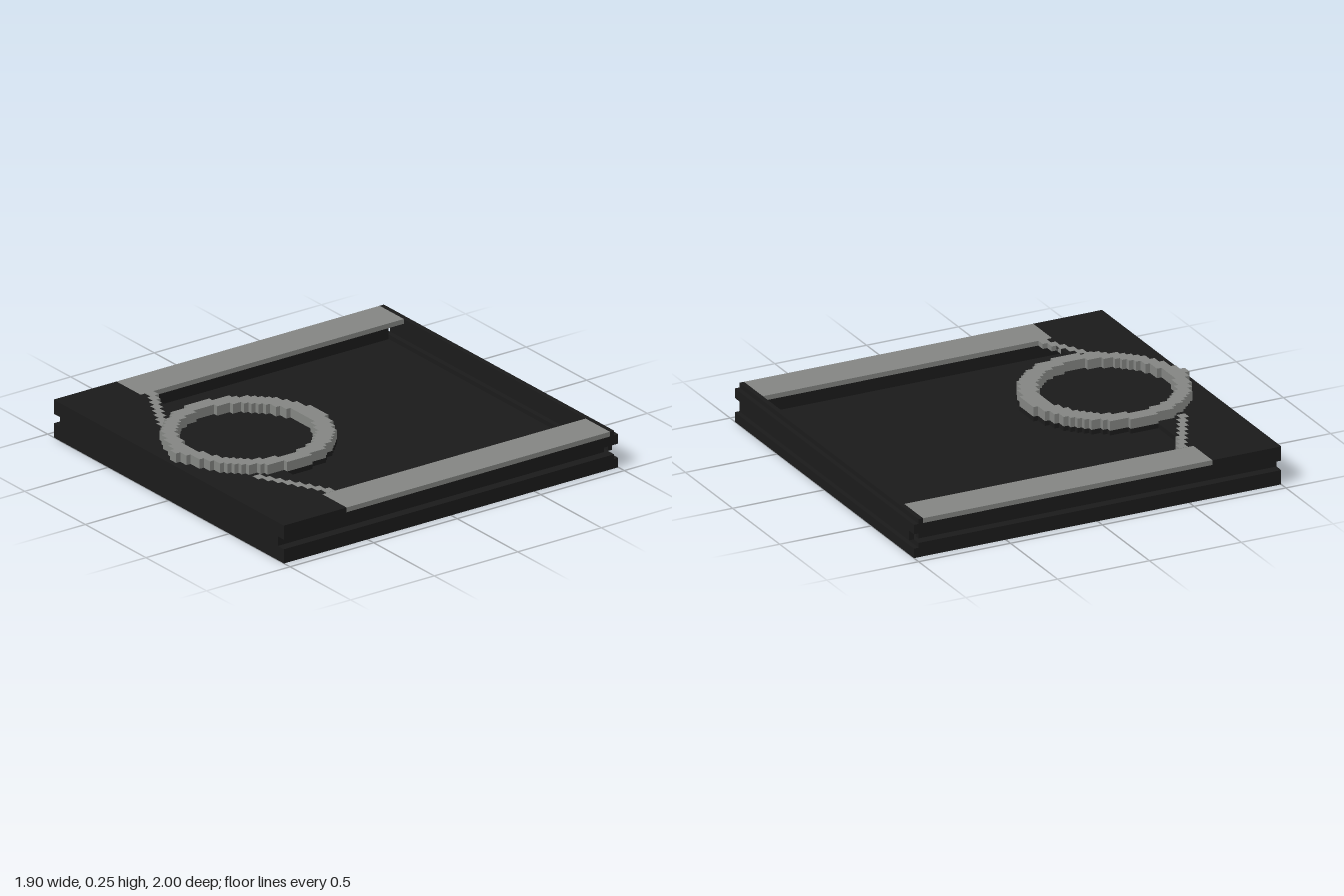
import * as THREE from 'three';
import { mergeGeometries } from 'three/addons/utils/BufferGeometryUtils.js';

const CELL = 0.025;

// Box given by its limits on each axis
function block(x0, x1, y0, y1, z0, z1) {
  return new THREE.BoxGeometry(x1 - x0, y1 - y0, z1 - z0)
    .translate((x0 + x1) / 2, (y0 + y1) / 2, (z0 + z1) / 2);
}

// Mirrored pair of boxes on both sides of x = 0
function pair(x0, x1, ...rest) {
  return [block(x0, x1, ...rest), block(-x1, -x0, ...rest)];
}

// Right half of a cross-section, mirrored in x and extruded along z
function profile(half, z0, z1) {
  const mirrored = half.map(([x, y]) => [-x, y]).reverse();
  const shape = new THREE.Shape([...half, ...mirrored].map(([x, y]) => new THREE.Vector2(x, y)));
  return new THREE.ExtrudeGeometry(shape, { depth: z1 - z0, bevelEnabled: false }).translate(0, 0, z0);
}

export function createModel() {
  const group = new THREE.Group();
  const dark = new THREE.MeshStandardMaterial({ name: 'charcoal', color: 0x1b1b1b });
  const grey = new THREE.MeshStandardMaterial({ name: 'stone grey', color: 0x848683 });

  const add = (name, material, parts) => {
    const mesh = new THREE.Mesh(mergeGeometries(parts), material);
    mesh.name = name;
    group.add(mesh);
  };

  // Hollow tray and solid front wall, both grooved along the outer sides
  const groovedSide = [[0.95, 0], [0.95, 0.075], [0.9, 0.075], [0.9, 0.125], [0.95, 0.125]];
  add('tray', dark, [
    profile([...groovedSide, [0.95, 0.175], [0.875, 0.175], [0.875, 0.05]], -0.95, 0.9),
  ]);
  add('frontWall', dark, [profile([...groovedSide, [0.95, 0.2]], 0.9, 1)]);

  // Back wall with a slit near the bottom, a hollow inside and a stepped top
  add('backWall', dark, [
    block(-0.95, 0.95, 0, 0.05, -1, -0.95),
    block(-0.95, 0.95, 0.05, 0.075, -0.975, -0.95),
    block(-0.9, 0.9, 0.075, 0.125, -1, -0.975),
    block(-0.95, 0.95, 0.125, 0.175, -1, -0.95),
    block(-0.95, 0.95, 0.175, 0.2, -0.975, -0.95),
  ]);

  // Thin front deck overhanging the hollow
  add('frontDeck', dark, [
    block(-0.95, 0.95, 0.175, 0.2, 0.625, 0.9),
    block(-0.75, 0.75, 0.175, 0.2, 0.6, 0.625),
  ]);

  // Rails overhanging the hollow
  add('sideRails', grey, pair(0.75, 0.95, 0.175, 0.2, -0.95, 0.625));

  // Stepped ring, built row by row, and the rounded tongue of deck under it
  const halfWidth = (dz, rx, rz) => {
    const t = 1 - (dz / rz) ** 2;
    return t > 0 ? Math.floor(rx * Math.sqrt(t) / CELL) * CELL : 0;
  };
  const ring = [block(-0.025, 0.025, 0.2, 0.25, 0.95, 0.975)];
  const tongue = [];
  for (let i = 0; i < 34; i++) {
    const z0 = 0.1 + i * CELL;
    const z1 = z0 + CELL;
    const mid = z0 + CELL / 2;
    const outer = halfWidth(mid - 0.525, 0.434, 0.422);
    const inner = halfWidth(mid - 0.535, 0.355, 0.34);
    if (inner > 0) ring.push(...pair(inner, outer, 0.2, 0.25, z0, z1));
    else ring.push(block(-outer, outer, 0.2, 0.25, z0, z1));
    if (mid < 0.6) tongue.push(block(-outer, outer, 0.175, 0.2, z0, z1));
  }
  add('ring', grey, ring);
  add('deckTongue', dark, tongue);

  // Stepped diagonal links between rails and ring
  const links = [];
  for (let i = 0; i < 8; i++) {
    const x1 = 0.75 - i * 0.047;
    const z0 = 0.55 + i * 0.025;
    links.push(...pair(x1 - 0.047, x1, 0.175, 0.201, z0, z0 + 0.045));
  }
  add('diagonalLinks', grey, links);

  return group;
}
